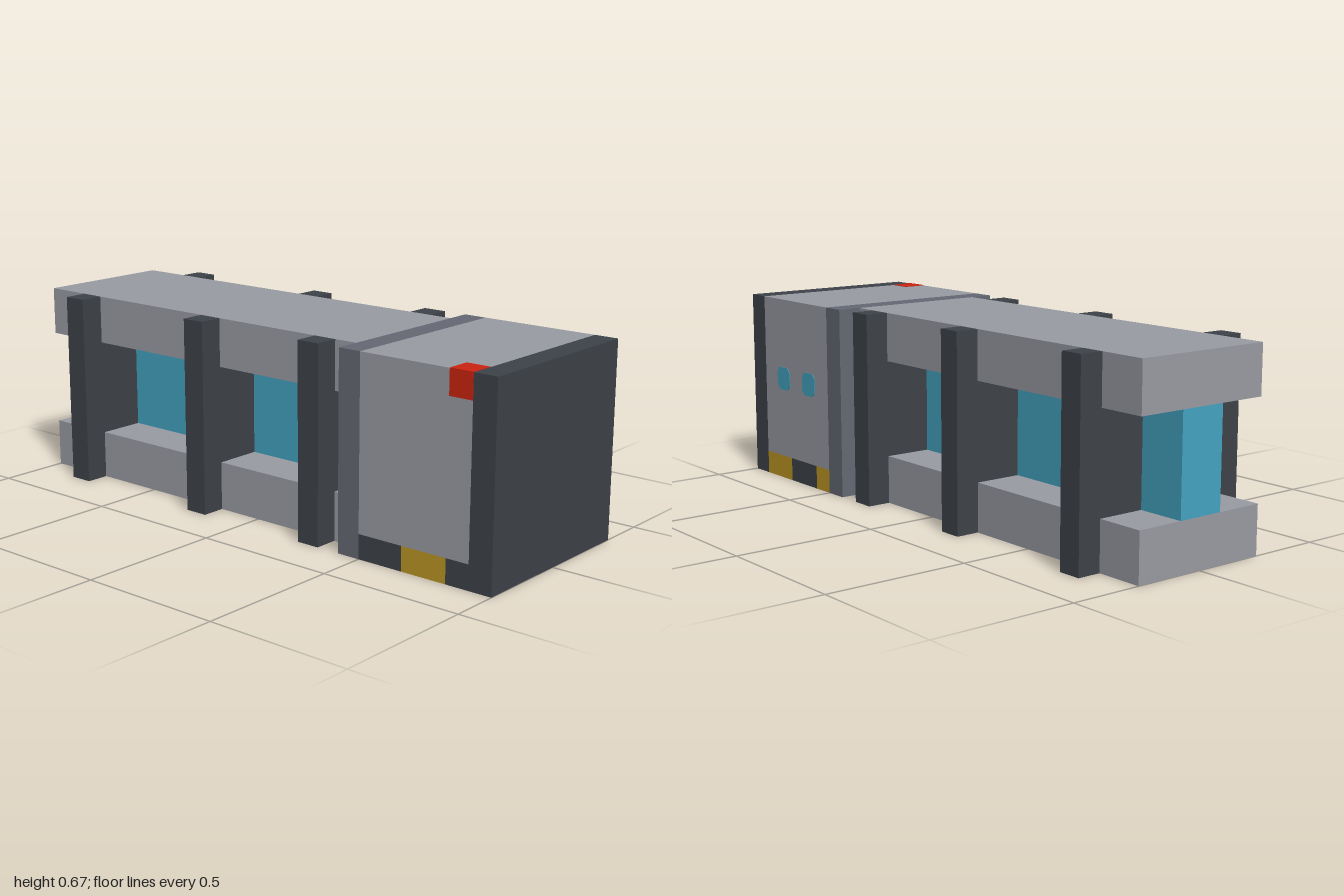
import * as THREE from 'three';

const U = 1 / 12; // one block of the blocky style

export function createModel() {
  const mat = (name, color, extra) => {
    const m = new THREE.MeshStandardMaterial({ color });
    m.name = name;
    return m;
  };
  const dark = mat('dark steel', 0x3e4349);
  const grey = mat('light grey', 0x999ca3);
  const slate = mat('slate grey', 0x656973);
  const blue = mat('blue', 0x44a4c2);
  const yellow = mat('hazard yellow', 0xbd9724);
  const red = mat('red', 0xcc2410);

  const model = new THREE.Group();
  model.name = 'model';

  // Box given by its limits in blocks: x and z from the centre, y from the ground
  const box = (name, material, [x0, x1], [y0, y1], [z0, z1], parent = model) => {
    const g = new THREE.BoxGeometry((x1 - x0) * U, (y1 - y0) * U, (z1 - z0) * U);
    const mesh = new THREE.Mesh(g, material);
    mesh.position.set((x0 + x1) / 2 * U, (y0 + y1) / 2 * U, (z0 + z1) / 2 * U);
    mesh.name = name;
    parent.add(mesh);
    return mesh;
  };

  // Head: front plate, main block and rear collar
  const head = new THREE.Group();
  head.name = 'head';
  model.add(head);
  box('frontPlate', dark, [-4, 4], [0, 8], [11, 12], head);
  box('headBlock', grey, [-4, 4], [1, 8], [6, 11], head);
  box('rearCollar', slate, [-4, 4], [0, 8], [5, 6], head);

  // Red corner button, standing a hair proud of the block
  const e = 0.02;
  box('cornerButton', red, [-4 - e, -3], [7, 8 + e], [10, 11], head);

  // Two round-cornered lights on the left side
  const a = 0.5 * U, c = 0.3 * U;
  const outline = new THREE.Shape([
    [-c, -a], [c, -a], [a, -c], [a, c], [c, a], [-c, a], [-a, c], [-a, -c],
  ].map(([x, y]) => new THREE.Vector2(x, y)));
  const lightGeometry = new THREE.ExtrudeGeometry(outline, { depth: 0.004, bevelEnabled: false });
  for (const z of [7.5, 9.5]) {
    const light = new THREE.Mesh(lightGeometry, blue);
    light.name = 'sideLight';
    light.rotation.y = Math.PI / 2;
    light.position.set(4 * U - 0.002, 4.5 * U, z * U);
    head.add(light);
  }

  // Base of the head: diagonal hazard stripes, laid as runs of blocks
  const base = new THREE.Group();
  base.name = 'stripedBase';
  head.add(base);
  const isYellow = (i, j) => [1, 2].includes((i + j) % 4);
  for (let i = 0; i < 8; i++) {
    for (let j = 1; j <= 5;) {
      let end = j + 1;
      while (end <= 5 && isYellow(i, end) === isYellow(i, j)) end++;
      const striped = isYellow(i, j);
      box(striped ? 'yellowStripe' : 'darkStripe', striped ? yellow : dark,
        [3 - i, 4 - i], [0, 1], [12 - end, 12 - j], base);
      j = end;
    }
  }

  // Shaft: two long beams around a blue core
  box('lowerBeam', grey, [-3, 3], [0, 2], [-12, 5]);
  box('upperBeam', grey, [-3, 3], [6, 8], [-12, 5]);
  box('core', blue, [-1, 1], [2, 6], [-12, 5]);

  // Three frames: outer posts and the walls that join them to the core
  for (const z of [-10, -3, 3]) {
    const frame = new THREE.Group();
    frame.name = 'frame';
    model.add(frame);
    for (const s of [-1, 1]) {
      const span = (p, q) => (s > 0 ? [p, q] : [-q, -p]);
      box('post', dark, span(3, 4), [0, 8], [z, z + 1], frame);
      box('wall', dark, span(1, 3), [2, 6], [z, z + 1], frame);
    }
  }

  return model;
}
